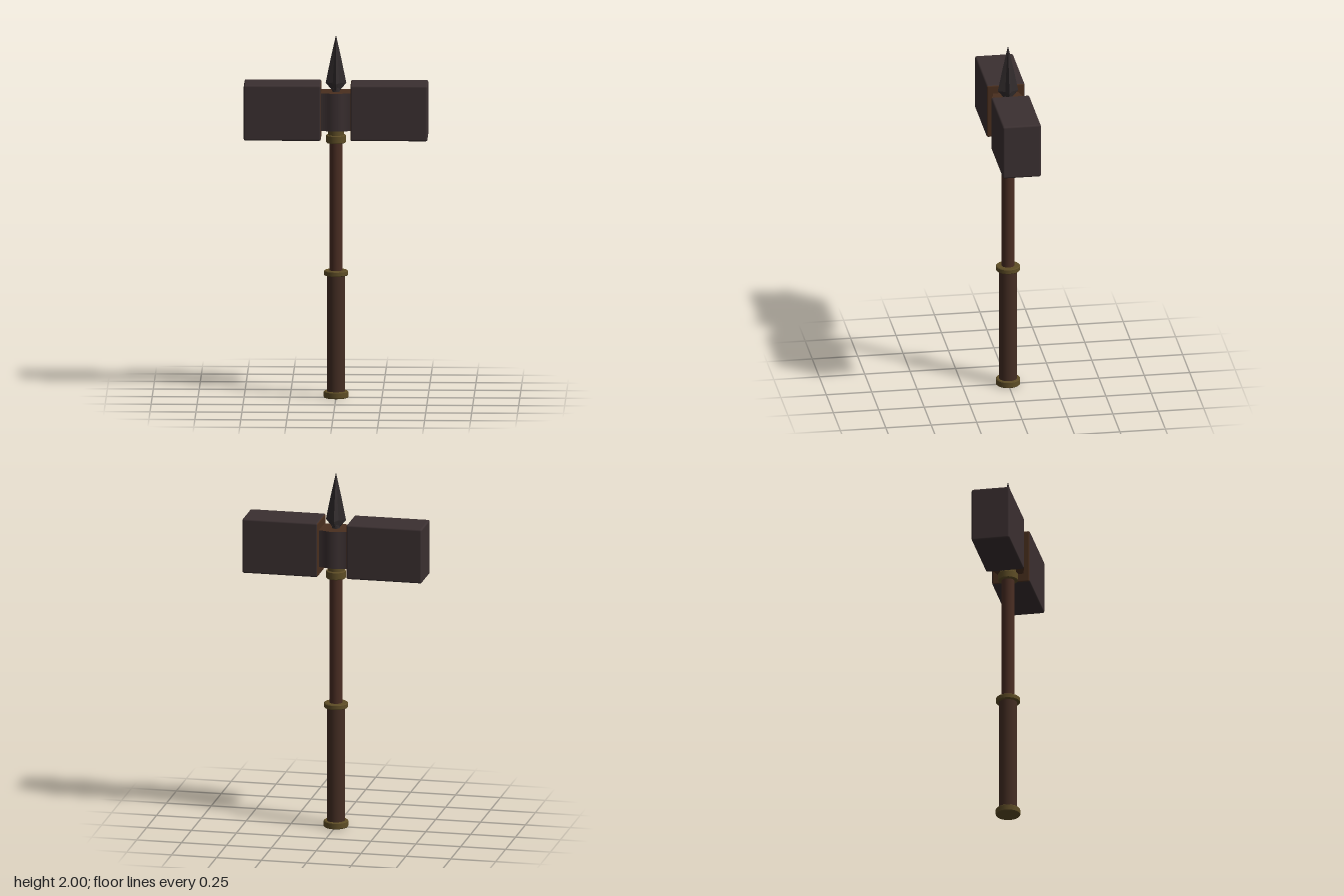
import * as THREE from 'three';
import { RoundedBoxGeometry } from 'three/addons/geometries/RoundedBoxGeometry.js';

const mat = (name, color) => {
  const m = new THREE.MeshStandardMaterial({ color });
  m.name = name;
  return m;
};

export function createModel() {
  const group = new THREE.Group();
  group.name = 'warHammer';
  const iron = mat('dark iron', 0x3b3031);
  const spikeIron = mat('spike iron', 0x332d2e);
  const rust = mat('rusty brown', 0x4a2f1e);
  const wood = mat('shaft wood', 0x4a2d23);
  const leather = mat('grip leather', 0x442d23);
  const brass = mat('old brass', 0x5e4d26);

  const add = (name, geometry, material) => {
    const mesh = new THREE.Mesh(geometry, material);
    mesh.name = name;
    group.add(mesh);
    return mesh;
  };
  const rod = (name, r, y0, y1, material, rTop = r) => {
    const g = new THREE.CylinderGeometry(rTop, r, y1 - y0, 24);
    add(name, g, material).position.y = (y0 + y1) / 2;
  };
  // Brass band with slightly bevelled rims
  const band = (name, r, y0, y1) => {
    const b = 0.004;
    const rim = [[0, y0], [r - b, y0], [r, y0 + b], [r, y1 - b], [r - b, y1], [0, y1]];
    // Each segment is its own lathe strip so that the edges stay crisp
    const part = new THREE.Group();
    part.name = name;
    for (let i = 0; i < rim.length - 1; i++) {
      const pts = [rim[i], rim[i + 1]].map((p) => new THREE.Vector2(...p));
      const strip = new THREE.Mesh(new THREE.LatheGeometry(pts, 24), brass);
      strip.name = name + 'Strip';
      part.add(strip);
    }
    group.add(part);
  };

  // Handle
  band('pommel', 0.067, 0, 0.036);
  rod('grip', 0.05, 0.03, 0.68, leather);
  band('gripRing', 0.066, 0.674, 0.702);
  rod('shaft', 0.035, 0.69, 1.5, wood);
  band('collar', 0.054, 1.405, 1.449);
  rod('collarNeck', 0.043, 1.445, 1.485, brass);

  // Two hammer blocks, with rusty faces towards the neck
  for (const s of [1, -1]) {
    const faces = Array(6).fill(iron);
    faces[s > 0 ? 1 : 0] = rust;
    const g = new RoundedBoxGeometry(0.42, 0.306, 0.21, 2, 0.01);
    add(s > 0 ? 'leftHead' : 'rightHead', g, faces).position.set(s * 0.29, 1.583, 0);
  }

  // Neck joining the blocks, bulging to the front and back
  const outline = new THREE.Shape();
  outline.moveTo(-0.085, -0.07);
  outline.bezierCurveTo(-0.04, -0.072, -0.035, -0.088, 0, -0.088);
  outline.bezierCurveTo(0.035, -0.088, 0.04, -0.072, 0.085, -0.07);
  outline.lineTo(0.085, 0.07);
  outline.bezierCurveTo(0.04, 0.072, 0.035, 0.088, 0, 0.088);
  outline.bezierCurveTo(-0.035, 0.088, -0.04, 0.072, -0.085, 0.07);
  const neck = new THREE.ExtrudeGeometry(outline, { depth: 0.208, bevelEnabled: false, curveSegments: 8 });
  neck.rotateX(-Math.PI / 2).translate(0, 1.48, 0);
  add('headNeck', neck, [rust, iron]);

  // Four-edged star spike
  rod('spikeStem', 0.022, 1.68, 1.705, spikeIron);
  const levels = [[1.69, 0.018, 0.016], [1.735, 0.056, 0.025], [1.86, 0.031, 0.015], [2, 0, 0]];
  const corner = (level, i) => {
    const [y, outer, inner] = levels[level];
    const r = i % 2 ? inner : outer;
    const a = (i * Math.PI) / 4;
    return [r * Math.cos(a), y, r * Math.sin(a)];
  };
  const pos = [];
  for (let l = 0; l < levels.length - 1; l++) {
    for (let i = 0; i < 8; i++) {
      const a = corner(l, i), b = corner(l, i + 1), c = corner(l + 1, i + 1), d = corner(l + 1, i);
      pos.push(...a, ...d, ...b);
      if (l < levels.length - 2) pos.push(...b, ...d, ...c);
    }
  }
  const spike = new THREE.BufferGeometry();
  spike.setAttribute('position', new THREE.Float32BufferAttribute(pos, 3));
  spike.computeVertexNormals();
  add('spike', spike, spikeIron);

  return group;
}
